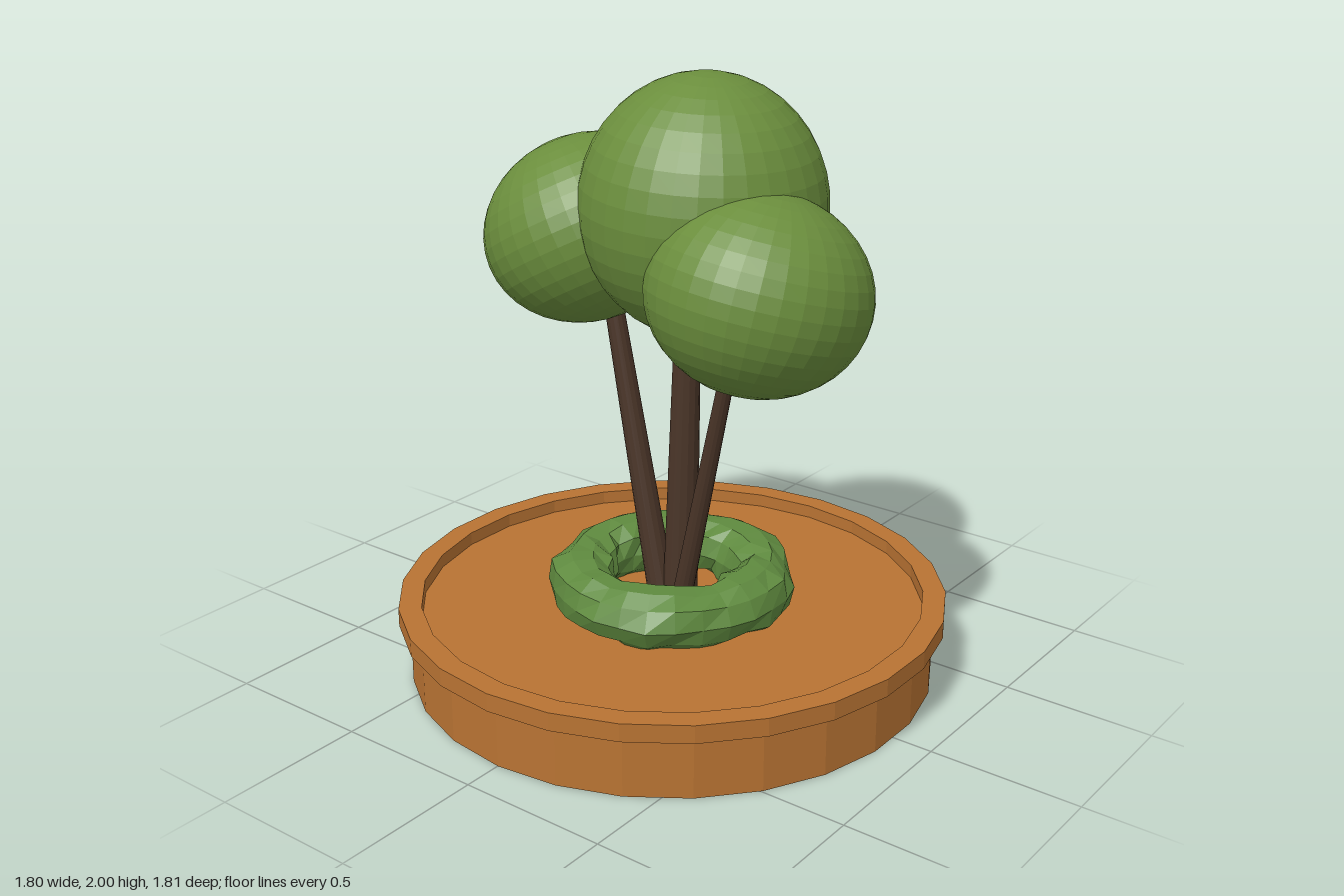
import * as THREE from 'three';

const mat = (color) => new THREE.MeshStandardMaterial({ color, flatShading: true });
const clay = mat(0xb87333), bark = mat(0x4a3528), leaf = mat(0x6b8e3d), mossGreen = mat(0x5f8a3f);

function add(group, name, geometry, material) {
  const mesh = new THREE.Mesh(geometry, material);
  mesh.name = name;
  group.add(mesh);
  return mesh;
}

// Tapered cylinder between two points
function addTrunk(group, name, from, to, r0, r1) {
  const a = new THREE.Vector3(...from), b = new THREE.Vector3(...to);
  const dir = b.clone().sub(a);
  const trunk = add(group, name, new THREE.CylinderGeometry(r1, r0, dir.length(), 14), bark);
  trunk.position.copy(a).lerp(b, 0.5);
  trunk.quaternion.setFromUnitVectors(new THREE.Vector3(0, 1, 0), dir.normalize());
}

// Slightly squashed ball of foliage
function addCrown(group, name, position, radii, tilt) {
  const crown = add(group, name, new THREE.SphereGeometry(1, 32, 20), leaf);
  crown.position.set(...position);
  crown.scale.set(...radii);
  crown.rotation.set(...tilt);
}

// Lumpy ring: a torus whose points are pushed about by a repeatable noise
function mossGeometry() {
  const rings = 28, sides = 10;
  const hash = (i, j) => {
    const s = Math.sin(i * 127.1 + j * 311.7 + 4.2) * 43758.5453;
    return s - Math.floor(s);
  };
  const geo = new THREE.TorusGeometry(0.3, 0.1, sides, rings);
  geo.rotateX(-Math.PI / 2);
  const pos = geo.attributes.position;
  for (let k = 0; k < pos.count; k++) {
    const i = (k % (rings + 1)) % rings, j = Math.floor(k / (rings + 1)) % sides;
    const u = (i / rings) * Math.PI * 2, v = (j / sides) * Math.PI * 2;
    const lump = 0.1 + 0.008 * Math.sin(5 * u + 1) + 0.026 * (hash(i, j) - 0.4);
    const r = 0.3 + lump * 1.05 * Math.cos(v);
    const y = Math.min(lump * Math.sin(v), 0.095);
    pos.setXYZ(k, r * Math.cos(u), y, -r * Math.sin(u));
  }
  geo.computeVertexNormals();
  return geo;
}

export function createModel() {
  const model = new THREE.Group();
  model.name = 'plantedTree';

  // Shallow round planter with a projecting raised rim
  const profile = [[0, 0], [0.87, 0], [0.87, 0.205], [0.907, 0.205], [0.907, 0.265],
    [0.832, 0.265], [0.832, 0.22], [0, 0.22]].map(([x, y]) => new THREE.Vector2(x, y));
  add(model, 'planter', new THREE.LatheGeometry(profile, 26), clay);

  // Moss around the foot
  add(model, 'mossRing', mossGeometry(), mossGreen).position.y = 0.3;

  // Three trunks fanning out of one foot
  const trunks = new THREE.Group();
  trunks.name = 'trunks';
  addTrunk(trunks, 'middleTrunk', [0.028, 0.21, -0.005], [0.07, 1.45, 0.003], 0.058, 0.038);
  addTrunk(trunks, 'rightTrunk', [-0.032, 0.21, 0.01], [-0.26, 1.42, 0.025], 0.047, 0.028);
  addTrunk(trunks, 'leftTrunk', [0.062, 0.21, 0.045], [0.36, 1.35, 0.13], 0.034, 0.022);
  model.add(trunks);

  // Crowns
  const crowns = new THREE.Group();
  crowns.name = 'crowns';
  addCrown(crowns, 'middleCrown', [0.128, 1.59, 0.013], [0.385, 0.41, 0.39], [0, 0, -0.05]);
  addCrown(crowns, 'rightCrown', [-0.295, 1.463, 0.055], [0.345, 0.298, 0.335], [0, 0, 0.5]);
  addCrown(crowns, 'leftCrown', [0.425, 1.393, 0.137], [0.34, 0.308, 0.355], [-0.25, 0, -0.1]);
  model.add(crowns);

  return model;
}
